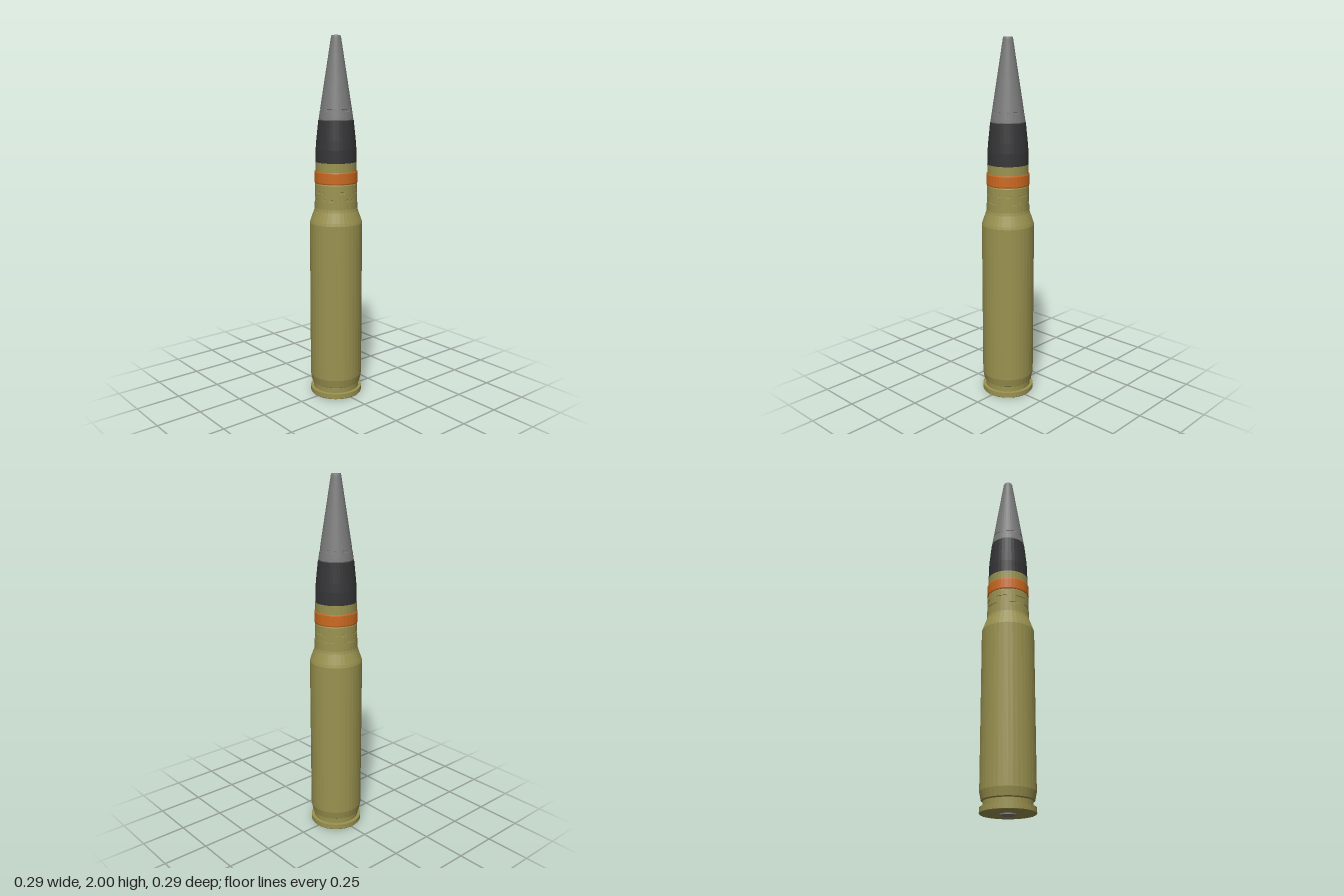
import * as THREE from 'three';

const SIDES = 36;
const BRASS = 0x9a9250, ORANGE = 0xcc6a20, BLACK = 0x363638, STEEL = 0x7c7c7c;

// Turned part from [radius, height] pairs, listed from bottom to top.
function turned(name, color, profile) {
  const geometry = new THREE.LatheGeometry(profile.map(([r, y]) => new THREE.Vector2(r, y)), SIDES);
  const material = new THREE.MeshStandardMaterial({ color, flatShading: true });
  const mesh = new THREE.Mesh(geometry, material);
  mesh.name = name;
  return mesh;
}

// Four profile points that bound one ring of crimps at height y.
function crimpRing(y, radiusAt) {
  return [-0.006, -0.005, 0.005, 0.006].map((d) => [radiusAt(y + d), y + d]);
}

// Press six short dents into the ring at height y.
function pressCrimps(mesh, y, phase) {
  const p = mesh.geometry.attributes.position;
  for (let i = 0; i < p.count; i++) {
    if (Math.abs(p.getY(i) - y) > 0.0055) continue;
    const angle = Math.atan2(p.getX(i), p.getZ(i)) - phase;
    if (Math.cos(angle * 6) < -0.1) continue;
    const r = Math.hypot(p.getX(i), p.getZ(i));
    const s = (r - 0.003) / r;
    p.setX(i, p.getX(i) * s);
    p.setZ(i, p.getZ(i) * s);
  }
  mesh.geometry.computeVertexNormals();
}

export function createModel() {
  const model = new THREE.Group();
  model.name = 'cartridge';

  // Case: rim, extractor groove, body and shoulder
  model.add(turned('case', BRASS, [
    [0, 0.006], [0.143, 0.006], [0.145, 0.009], [0.145, 0.036],
    [0.128, 0.037], [0.128, 0.066], [0.136, 0.071], [0.145, 0.115],
    [0.145, 0.995], [0.141, 1.01], [0.121, 1.065], [0.118, 1.08],
  ]));

  // Neck with two staggered rows of crimps
  const neckRadius = (y) => THREE.MathUtils.mapLinear(y, 1.08, 1.21, 0.118, 0.115);
  const neck = turned('neck', BRASS, [
    [0.118, 1.08],
    ...crimpRing(1.13, neckRadius),
    ...crimpRing(1.17, neckRadius),
    [0.115, 1.21], [0.113, 1.215], [0.113, 1.28], [0.113, 1.33], [0.1, 1.33],
  ]);
  pressCrimps(neck, 1.13, Math.PI / 6);
  pressCrimps(neck, 1.17, 0);
  model.add(neck);

  // Coloured driving band
  model.add(turned('drivingBand', ORANGE, [
    [0.11, 1.216], [0.116, 1.216], [0.118, 1.222], [0.118, 1.276], [0.116, 1.282], [0.11, 1.282],
  ]));

  // Projectile body
  model.add(turned('projectileBody', BLACK, [
    [0.1, 1.325], [0.111, 1.325], [0.111, 1.4], [0.107, 1.45], [0.096, 1.555], [0.08, 1.555],
  ]));

  // Tapered nose with flat tip and one row of crimps
  const noseRadius = (y) => THREE.MathUtils.mapLinear(y, 1.575, 1.99, 0.092, 0.027);
  const nose = turned('nose', STEEL, [
    [0.08, 1.554], [0.092, 1.554], [0.094, 1.56], [0.092, 1.575],
    ...crimpRing(1.61, noseRadius),
    [0.027, 1.99], [0.024, 2], [0, 2],
  ]);
  pressCrimps(nose, 1.61, Math.PI / 6);
  model.add(nose);

  // Primer in the base
  model.add(turned('primer', STEEL, [[0, 0], [0.042, 0], [0.042, 0.01]]));

  return model;
}
